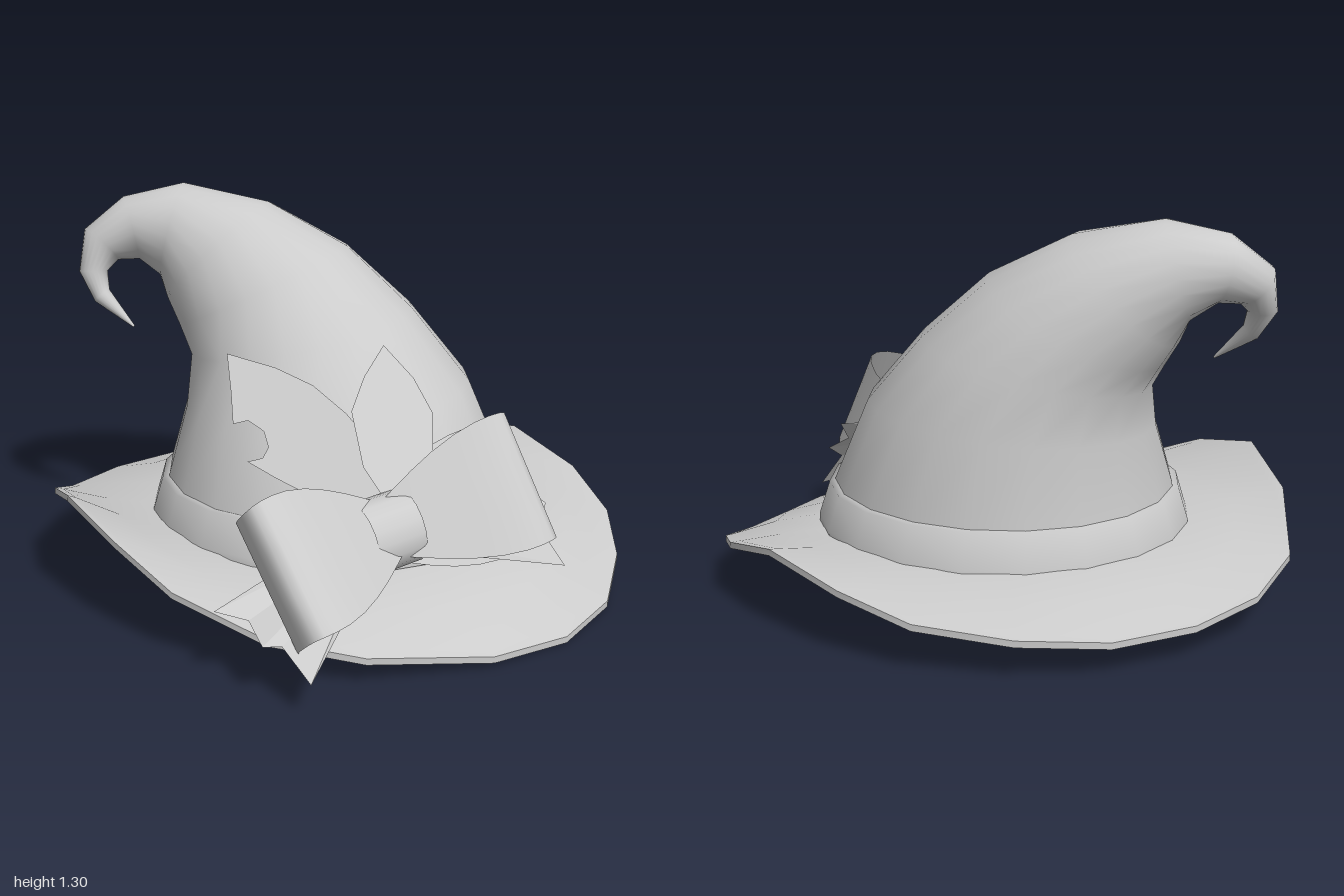
import * as THREE from 'three';

const V = (x, y, z) => new THREE.Vector3(x, y, z);
const solid = new THREE.MeshStandardMaterial({ color: 0xcccccc });
const thin = new THREE.MeshStandardMaterial({ color: 0xcccccc, side: THREE.DoubleSide });

// Skin a list of equally long point rows
function loft(rows, closed = true) {
  const n = rows[0].length, pos = [], index = [];
  rows.forEach(row => row.forEach(p => pos.push(p.x, p.y, p.z)));
  for (let r = 0; r < rows.length - 1; r++) {
    for (let i = 0; i < (closed ? n : n - 1); i++) {
      const a = r * n + i, b = r * n + (i + 1) % n;
      index.push(a, a + n, b, b, a + n, b + n);
    }
  }
  const g = new THREE.BufferGeometry();
  g.setAttribute('position', new THREE.Float32BufferAttribute(pos, 3));
  g.setIndex(index);
  g.computeVertexNormals();
  return g;
}

function add(parent, name, geometry, material = solid) {
  const mesh = new THREE.Mesh(geometry, material);
  mesh.name = name;
  parent.add(mesh);
  return mesh;
}

// Wavy brim: rim points [x, top y, z], blended towards a level centre
const RIM = [
  [0.92, 0.27, -0.2], [0.965, 0.2, 0.12], [0.91, 0.13, 0.4], [0.78, 0.07, 0.62], [0.57, 0.028, 0.83],
  [0.3, 0.022, 0.96], [0, 0.04, 0.985], [-0.4, 0.09, 0.88], [-0.65, 0.14, 0.71], [-0.84, 0.23, 0.44],
  [-0.93, 0.33, 0.2], [-0.97, 0.39, -0.1], [-0.91, 0.3, -0.4], [-0.74, 0.17, -0.7], [-0.48, 0.13, -0.9],
  [-0.2, 0.11, -0.99], [0.1, 0.11, -1], [0.38, 0.13, -0.91], [0.64, 0.16, -0.73], [0.8, 0.22, -0.52],
];
function makeBrim(hat) {
  const brim = new THREE.Group();
  brim.name = 'brim';
  hat.add(brim);
  const ring = (s, t, centreY, drop) =>
    RIM.map(([x, y, z]) => V(x * s, THREE.MathUtils.lerp(centreY, y - drop, t), z * s));
  const under = [[0, 0], [0.35, 0.04], [0.62, 0.14], [0.82, 0.42], [1, 1]].map(([s, t]) => ring(s, t, 0.14, 0.022));
  const top = [[1, 1], [0.97, 0.92], [0.82, 0.42], [0.64, 0.06], [0.5, 0]].map(([s, t]) => ring(s, t, 0.22, 0));
  add(brim, 'brimUnderside', loft(under));
  add(brim, 'brimEdge', loft([under[4], top[0]]));
  add(brim, 'brimTop', loft(top));
}

// Bent cone: centre, radius, direction of each section
const CROWN = [
  [0, 0.2, 0, 0.61, 0, 1, 0],
  [0, 0.36, 0, 0.595, 0, 1, 0],
  [0, 0.62, -0.07, 0.5, -0.06, 1, -0.06],
  [-0.04, 0.815, -0.185, 0.4, -0.15, 1, -0.15],
  [-0.13, 0.96, -0.3, 0.33, -0.3, 0.9, -0.33],
  [-0.24, 1.07, -0.43, 0.25, -0.5, 0.7, -0.5],
  [-0.37, 1.14, -0.54, 0.17, -0.8, 0.25, -0.5],
  [-0.5, 1.145, -0.605, 0.115, -0.93, -0.2, -0.3],
  [-0.605, 1.09, -0.635, 0.08, -0.75, -0.65, 0],
  [-0.645, 1.0, -0.62, 0.05, -0.1, -1, 0.2],
  [-0.635, 0.92, -0.57, 0.033, 0.4, -0.7, 0.5],
  [-0.56, 0.82, -0.47, 0.004, 0.4, -0.7, 0.5],
];
function makeCrown(hat) {
  const u = V(1, 0, 0), w = V(0, 0, 1), dir = V(0, 1, 0), turn = new THREE.Quaternion();
  const rows = CROWN.map(([x, y, z, r, dx, dy, dz]) => {
    const next = V(dx, dy, dz).normalize();
    turn.setFromUnitVectors(dir, next);
    u.applyQuaternion(turn);
    w.applyQuaternion(turn);
    dir.copy(next);
    return Array.from({ length: 20 }, (_, i) => {
      const a = (i / 20) * Math.PI * 2;
      return V(x, y, z).addScaledVector(u, r * Math.cos(a)).addScaledVector(w, r * Math.sin(a));
    });
  });
  add(hat, 'crown', loft(rows));

  // Band around the foot of the crown
  const profile = [[0.655, 0.2], [0.655, 0.235], [0.618, 0.352], [0.585, 0.357]].map(p => new THREE.Vector2(...p));
  const band = add(hat, 'band', new THREE.LatheGeometry(profile, 20).scale(1, 1, 0.975), thin);
  band.rotation.x = -0.025;
}

// Bow: two flattened loops, a knot and two notched tails
function makeBow(hat) {
  const bow = new THREE.Group();
  bow.name = 'bow';
  hat.add(bow);
  const knot = V(-0.19, 0.37, 0.64);
  const outline = new THREE.SplineCurve([
    [0, -0.03], [0.35, -0.07], [0.75, -0.1], [0.96, -0.08], [1, 0],
    [0.95, 0.08], [0.72, 0.1], [0.32, 0.07], [0, 0.04],
  ].map(p => new THREE.Vector2(...p))).getPoints(20);
  // lean: how far the loop's width tips away from upright
  const loop = (name, end, lean) => {
    const along = end.clone().sub(knot);
    const across = V(-0.14, Math.cos(lean), -Math.sin(lean)), out = V(0, Math.sin(lean), Math.cos(lean));
    const rows = [-1, -0.33, 0.33, 1].map(k => outline.map(p =>
      knot.clone().addScaledVector(along, p.x).addScaledVector(out, p.y)
        .addScaledVector(across, k * (0.09 + 0.13 * Math.sin(1.9 * p.x)))));
    add(bow, name, loft(rows, false), thin);
  };
  loop('rightLoop', V(-0.67, 0.37, 0.79), 0.7);
  loop('leftLoop', V(0.31, 0.47, 0.68), 0.55);

  const knotGeo = new THREE.CylinderGeometry(0.1, 0.1, 0.18, 16, 2, true);
  knotGeo.rotateZ(Math.PI / 2).scale(1, 1.2, 0.95);
  const wrap = add(bow, 'knot', knotGeo, thin);
  wrap.position.copy(knot);
  wrap.rotation.set(-0.55, 0, 0.1);

  const tail = (name, ends) => {
    const edge = [[-0.19, 0.42, 0.57], ...ends, [-0.19, 0.31, 0.63]];
    const pos = [];
    for (let i = 0; i < edge.length - 1; i++) pos.push(-0.19, 0.365, 0.6, ...edge[i], ...edge[i + 1]);
    const g = new THREE.BufferGeometry();
    g.setAttribute('position', new THREE.Float32BufferAttribute(pos, 3));
    g.computeVertexNormals();
    add(bow, name, g, thin);
  };
  tail('rightTail', [[-0.8, 0.25, 0.66], [-0.71, 0.22, 0.71], [-0.725, 0.19, 0.83], [-0.665, 0.18, 0.84], [-0.645, 0.115, 0.98]]);
  tail('leftTail', [[0.44, 0.47, 0.49], [0.385, 0.39, 0.57], [0.44, 0.34, 0.64], [0.375, 0.29, 0.685], [0.43, 0.165, 0.77]]);
}

// Leaves: flat outlines leaning against the crown, z = z0 + bx * x + by * y
function makeLeaf(hat, name, points, z0, bx, by) {
  const g = new THREE.ShapeGeometry(new THREE.Shape(points.map(p => new THREE.Vector2(...p))));
  const pos = g.attributes.position;
  for (let i = 0; i < pos.count; i++) pos.setZ(i, z0 + bx * pos.getX(i) + by * pos.getY(i));
  g.computeVertexNormals();
  add(hat, name, g, thin);
}

export function createModel() {
  const hat = new THREE.Group();
  hat.name = 'hat';
  makeBrim(hat);
  makeCrown(hat);
  makeBow(hat);
  makeLeaf(hat, 'leftLeaf', [
    [-0.15, 0.42], [-0.04, 0.47], [0.05, 0.57], [0.09, 0.67], [0.065, 0.77], [0, 0.87],
    [-0.1, 0.79], [-0.18, 0.7], [-0.2, 0.55],
  ], 0.96, 0.15, -0.75);
  makeLeaf(hat, 'bittenLeaf', [
    [-0.2, 0.42], [-0.13, 0.48], [-0.13, 0.58], [-0.19, 0.69], [-0.26, 0.77], [-0.35, 0.82], [-0.475, 0.86],
    [-0.495, 0.75], [-0.515, 0.66], [-0.47, 0.67], [-0.435, 0.64], [-0.435, 0.595], [-0.46, 0.565],
    [-0.505, 0.555], [-0.44, 0.51], [-0.34, 0.45],
  ], 0.987, 0.58, -0.7);
  return hat;
}
